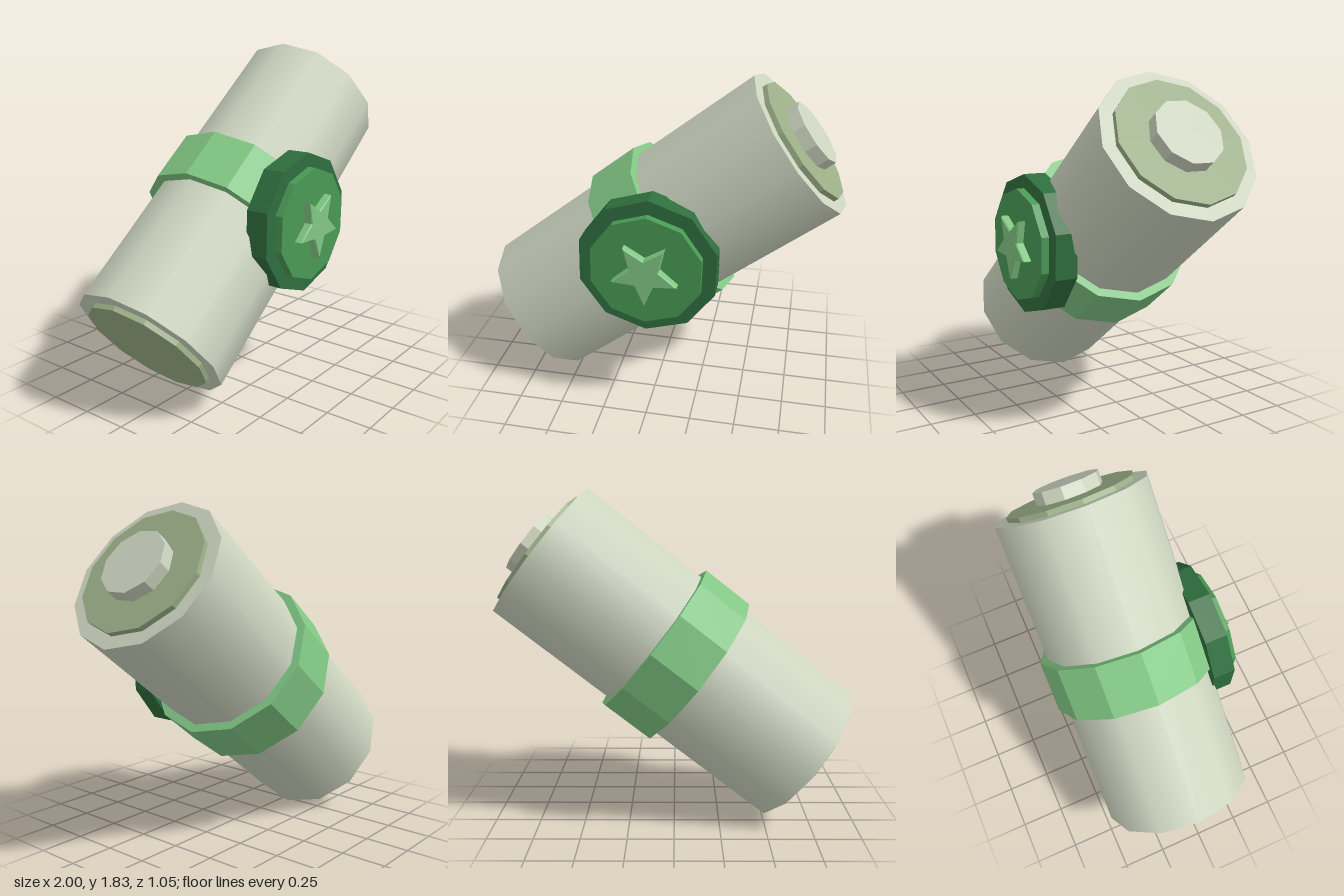
import * as THREE from 'three';

const material = (name, color, flatShading = true) => {
  const m = new THREE.MeshStandardMaterial({ color, flatShading });
  m.name = name;
  return m;
};

export function createModel() {
  const paleGrey = material('paleGreyGreen', 0xcdd5c0, false);
  const sage = material('sage', 0x9caf88);
  const lightGreen = material('lightGreen', 0x81c784);
  const midGreen = material('midGreen', 0x4a9a55);
  const darkGreen = material('darkGreen', 0x2f6e3e);

  const model = new THREE.Group();
  model.name = 'battery';

  // Cylinder spanning from..to along its parent's y axis
  const drum = (parent, name, radius, from, to, sides, mat) => {
    const mesh = new THREE.Mesh(new THREE.CylinderGeometry(radius, radius, to - from, sides), mat);
    mesh.position.y = (from + to) / 2;
    mesh.name = name;
    parent.add(mesh);
    return mesh;
  };

  // Tilted cell: body, end discs, terminal and band share one axis
  const cell = new THREE.Group();
  cell.name = 'cell';
  cell.position.set(0, 0.917, -0.048);
  cell.rotation.z = -THREE.MathUtils.degToRad(52);
  model.add(cell);
  drum(cell, 'body', 0.433, -0.93, 0.93, 12, paleGrey);
  drum(cell, 'topDisc', 0.36, 0.9, 0.958, 12, sage);
  drum(cell, 'bottomDisc', 0.36, -0.958, -0.9, 12, sage);
  const terminal = drum(cell, 'terminal', 0.187, 0.94, 1.028, 10, paleGrey);
  terminal.geometry = terminal.geometry.toNonIndexed();
  terminal.geometry.computeVertexNormals();
  drum(cell, 'band', 0.48, -0.156, 0.15, 12, lightGreen);

  // Badge on the front of the band
  const badge = new THREE.Group();
  badge.name = 'badge';
  badge.position.set(0, 0.917, 0);
  badge.rotation.set(Math.PI / 2, 0, 0);
  model.add(badge);
  drum(badge, 'badgeRim', 0.384, 0.31, 0.436, 10, darkGreen).rotation.y = -0.025;
  drum(badge, 'badgePlate', 0.308, 0.42, 0.48, 10, midGreen).rotation.y = -0.025;

  // Five-pointed star, one point down
  const points = [];
  for (let i = 0; i < 10; i++) {
    const a = -Math.PI / 2 + (i * Math.PI) / 5;
    const r = i % 2 ? 0.077 : 0.175;
    points.push(new THREE.Vector2(Math.cos(a) * r, Math.sin(a) * r));
  }
  const star = new THREE.Mesh(
    new THREE.ExtrudeGeometry(new THREE.Shape(points), {
      depth: 0.045, bevelEnabled: true, bevelSize: 0.006, bevelThickness: 0.007, bevelSegments: 1,
    }),
    lightGreen,
  );
  star.name = 'star';
  star.position.set(0, 0.917, 0.473);
  model.add(star);

  return model;
}
